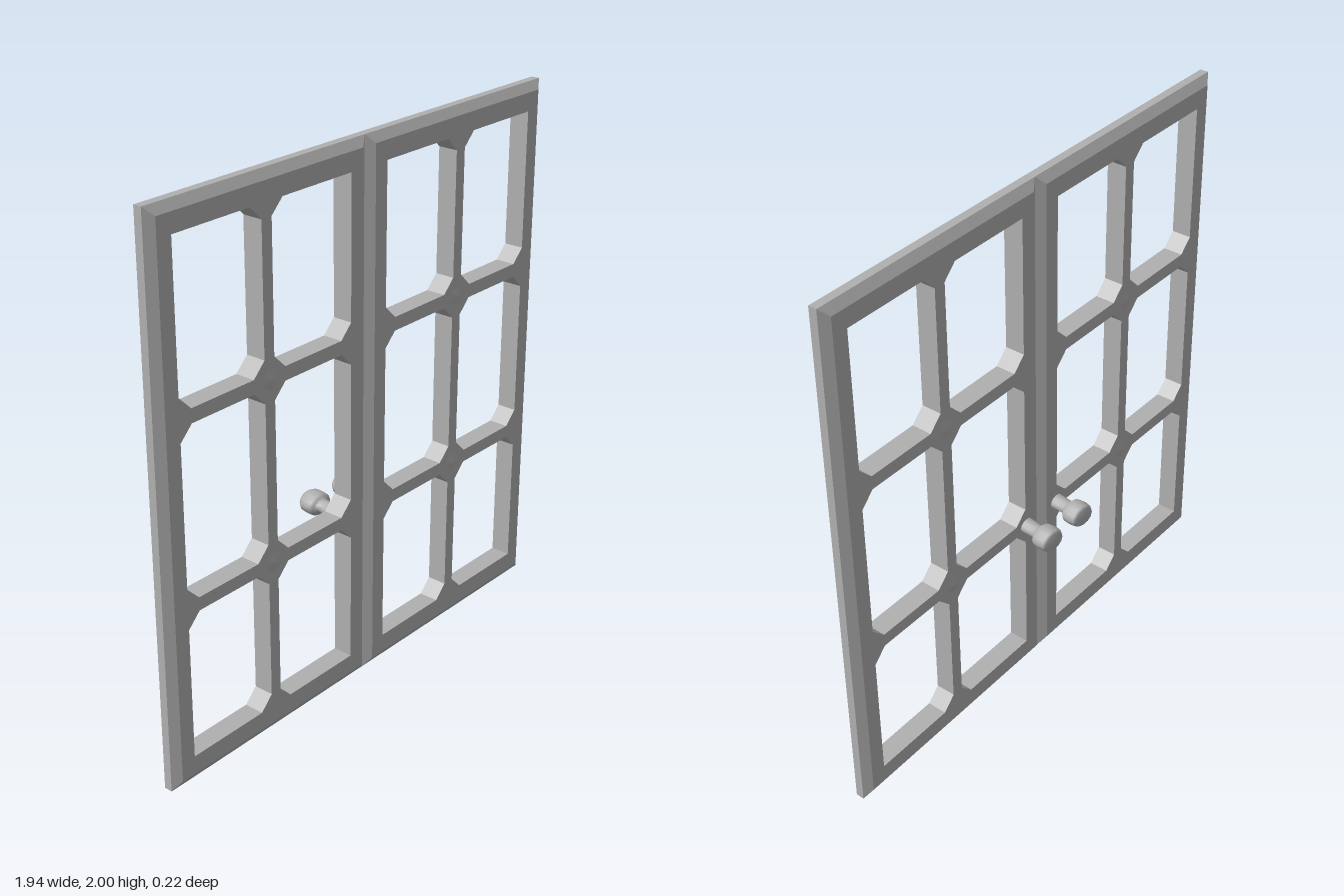
import * as THREE from 'three';

const W = 0.97, H = 2, BEVEL = 0.032;
const Z_BACK = 0.03, Z_FRONT = 0.105;
const CUT = 0.05;
const COLS = [[0.09, 0.463], [0.508, 0.88]];
const ROWS = [[0.1, 0.635], [0.683, 1.29], [1.34, 1.9]];

// Pane opening: corners next to a glazing bar are cut off, frame corners stay square
function opening(c, r) {
  const [x0, x1] = COLS[c], [y0, y1] = ROWS[r];
  const pts = [];
  const corner = (x, y, inX, inY, square, xFirst) => {
    if (square) { pts.push(new THREE.Vector2(x, y)); return; }
    const a = new THREE.Vector2(x + inX * CUT, y);
    const b = new THREE.Vector2(x, y + inY * CUT);
    pts.push(...(xFirst ? [a, b] : [b, a]));
  };
  corner(x0, y0, 1, 1, c === 0 && r === 0, false);
  corner(x1, y0, -1, 1, c === 1 && r === 0, true);
  corner(x1, y1, -1, -1, c === 1 && r === 2, false);
  corner(x0, y1, 1, -1, c === 0 && r === 2, true);
  return new THREE.Path(pts);
}

// Flat lattice with six openings
function latticeGeometry() {
  const s = new THREE.Shape();
  s.moveTo(BEVEL, BEVEL);
  s.lineTo(W - BEVEL, BEVEL);
  s.lineTo(W - BEVEL, H - BEVEL);
  s.lineTo(BEVEL, H - BEVEL);
  s.closePath();
  for (let c = 0; c < 2; c++) for (let r = 0; r < 3; r++) s.holes.push(opening(c, r));
  const g = new THREE.ExtrudeGeometry(s, { depth: Z_FRONT - Z_BACK, bevelEnabled: false });
  return g.translate(0, 0, Z_BACK);
}

// Bevelled outer edge, lofted through four rectangles from front to back
function rimGeometry() {
  const levels = [[BEVEL, Z_FRONT], [0, 0.083], [0, 0.052], [BEVEL, Z_BACK]];
  const loops = levels.map(([i, z]) => [
    [i, i, z], [W - i, i, z], [W - i, H - i, z], [i, H - i, z],
  ]);
  const pos = [];
  for (let k = 0; k < 3; k++) {
    for (let i = 0; i < 4; i++) {
      const j = (i + 1) % 4;
      const a = loops[k][i], b = loops[k][j], c = loops[k + 1][j], d = loops[k + 1][i];
      pos.push(...a, ...d, ...c, ...a, ...c, ...b);
    }
  }
  const g = new THREE.BufferGeometry();
  g.setAttribute('position', new THREE.Float32BufferAttribute(pos, 3));
  g.computeVertexNormals();
  return g;
}

// Low boss where two glazing bars cross
function bossGeometry() {
  return new THREE.ConeGeometry(0.035, 0.007, 8, 1, true).translate(0, 0.0035, 0).rotateX(Math.PI / 2);
}

// Knob: stem and oval head turned as one, pointing to -z
function knobGeometry() {
  const profile = [
    [0.032, -0.005], [0.03, 0.03], [0.028, 0.062], [0.04, 0.066], [0.05, 0.076],
    [0.053, 0.1], [0.05, 0.125], [0.042, 0.135], [0, 0.137],
  ].map(([r, y]) => new THREE.Vector2(r, y));
  const g = new THREE.LatheGeometry(profile, 12);
  g.rotateX(-Math.PI / 2);
  g.scale(1, 0.82, 1);
  return g;
}

export function createModel() {
  const model = new THREE.Group();
  model.name = 'doubleWindow';
  const grey = new THREE.MeshStandardMaterial({ color: 0xb0b0b0 });
  grey.name = 'grey';

  const add = (parent, name, geometry) => {
    const m = new THREE.Mesh(geometry, grey);
    m.name = name;
    parent.add(m);
    return m;
  };

  const lattice = latticeGeometry(), rim = rimGeometry();
  const boss = bossGeometry(), knob = knobGeometry();

  for (const side of [-1, 1]) {
    const sash = new THREE.Group();
    sash.name = side > 0 ? 'leftSash' : 'rightSash';
    sash.position.x = side > 0 ? 0 : -W;
    add(sash, 'lattice', lattice);
    add(sash, 'bevelledRim', rim);

    // Bosses on both faces
    for (const y of [0.66, 1.315]) {
      add(sash, 'frontBoss', boss).position.set(0.486, y, Z_FRONT);
      const back = add(sash, 'backBoss', boss);
      back.position.set(0.486, y, Z_BACK);
      back.rotation.y = Math.PI;
    }
    model.add(sash);

    // Knob on the back, near the meeting edge
    const handle = add(model, side > 0 ? 'leftKnob' : 'rightKnob', knob);
    handle.position.set(side > 0 ? 0.085 : -0.088, 0.66, Z_BACK);
    handle.rotation.y = -0.09;
  }
  return model;
}
